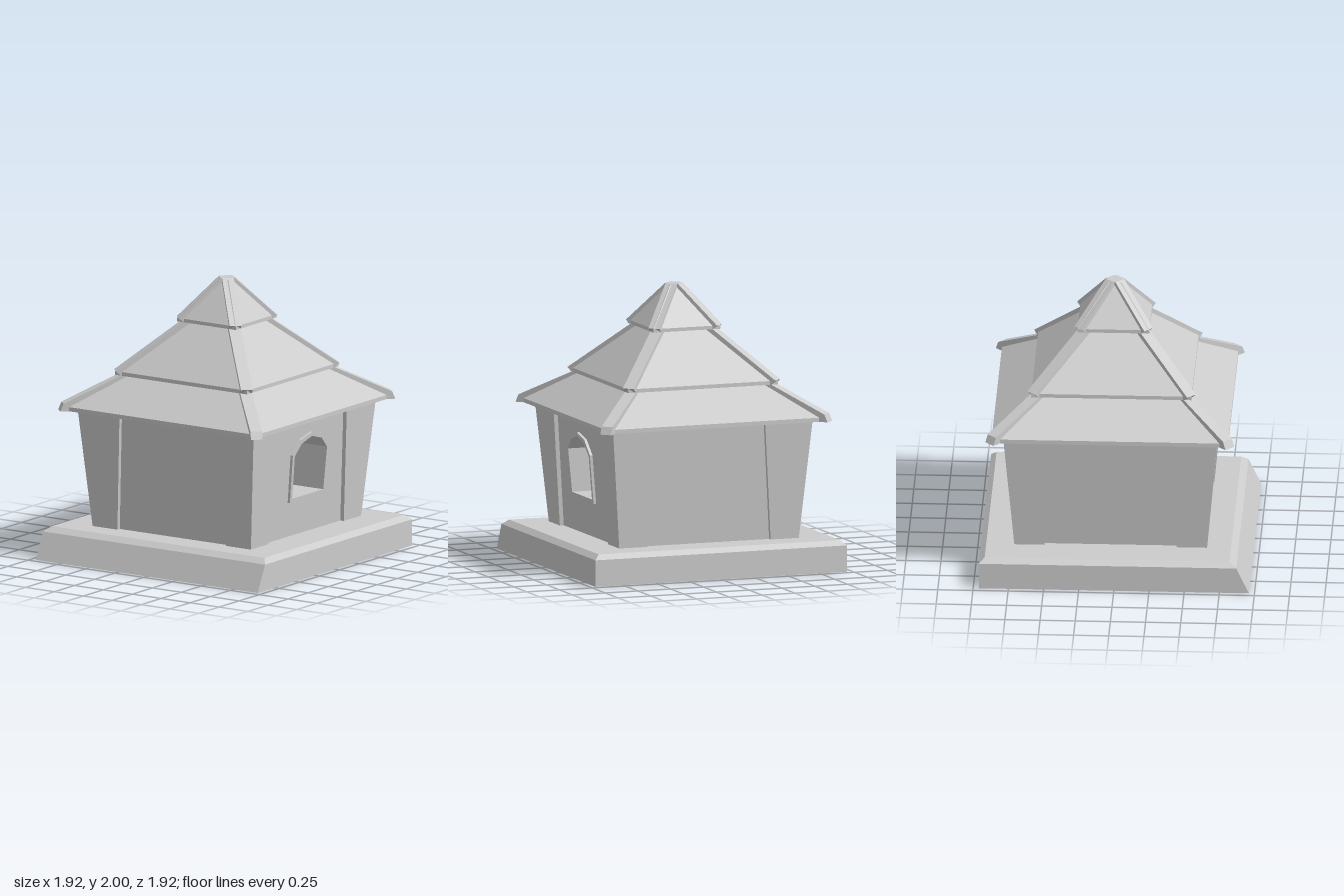
import * as THREE from 'three';

const material = new THREE.MeshStandardMaterial({
  color: 0xcccccc, flatShading: true, side: THREE.DoubleSide,
});

function part(name, geometry, parent) {
  const mesh = new THREE.Mesh(geometry, material);
  mesh.name = name;
  parent.add(mesh);
  return mesh;
}

// Stacks rectangular rings [y, x0, x1, z0, z1] from bottom to top; caps are optional.
function loft(rings, capTop, capBottom) {
  const corners = rings.map(([y, x0, x1, z0, z1]) =>
    [[x0, y, z1], [x1, y, z1], [x1, y, z0], [x0, y, z0]]);
  const out = [];
  const quad = (a, b, c, d) => out.push(...a, ...b, ...c, ...a, ...c, ...d);
  for (let i = 0; i < corners.length - 1; i++) {
    for (let k = 0; k < 4; k++) {
      const n = (k + 1) % 4;
      quad(corners[i][k], corners[i][n], corners[i + 1][n], corners[i + 1][k]);
    }
  }
  if (capTop) quad(...corners[corners.length - 1]);
  if (capBottom) quad(...[...corners[0]].reverse());
  const geometry = new THREE.BufferGeometry();
  geometry.setAttribute('position', new THREE.Float32BufferAttribute(out, 3));
  geometry.computeVertexNormals();
  return geometry;
}

const square = (y, half) => [y, -half, half, -half, half];
const polygon = (points) => new THREE.Shape(points.map(([x, y]) => new THREE.Vector2(x, y)));

// The walls flare outward with height.
const postOuter = (y) => 0.685 + (y - 0.225) * 0.089;
const postInner = (y) => 0.47 - (y - 0.225) * 0.083;
const wallFace = (y) => postOuter(y) - 0.03;

// Leans a flat geometry onto the plane of the flared wall.
function leanOnWall(geometry) {
  const p = geometry.attributes.position;
  for (let i = 0; i < p.count; i++) p.setZ(i, p.getZ(i) + wallFace(p.getY(i)));
  geometry.computeVertexNormals();
  return geometry;
}

// Mirrors a half outline (bottom to peak) of the arched window.
function archOutline(half) {
  const mirrored = half.slice(0, -1).reverse().map(([x, y]) => [-x, y]);
  return [...half, ...mirrored];
}

export function createModel() {
  const model = new THREE.Group();
  model.name = 'smallShrineHouse';

  // Hollow plinth with a chamfered top and a sloping front
  part('plinth', loft([
    [0, -0.96, 0.96, -0.96, 0.96],
    [0.19, -0.96, 0.96, -0.96, 0.87],
    [0.225, -0.92, 0.92, -0.92, 0.82],
  ], true, false), model);

  const house = new THREE.Group();
  house.name = 'house';
  house.position.z = -0.035;
  model.add(house);

  const outer = archOutline([[0.218, 0.48], [0.226, 0.83], [0.138, 0.93], [0, 0.965]]);
  const inner = archOutline([[0.193, 0.508], [0.2, 0.82], [0.123, 0.9], [0, 0.935]]);

  // Four recessed walls, the left one pierced by the window
  const bottom = 0.212, top = 1.08;
  const wallNames = ['frontWall', 'leftWall', 'backWall', 'rightWall'];
  wallNames.forEach((name, k) => {
    const b = wallFace(bottom), t = wallFace(top);
    const shape = polygon([[-b, bottom], [b, bottom], [t, top], [-t, top]]);
    if (k === 1) shape.holes.push(polygon(inner));
    const wall = part(name, leanOnWall(new THREE.ShapeGeometry(shape)), house);
    wall.rotation.y = k * Math.PI / 2;
  });

  // Window frame whose inside forms the deep reveal, closed by a back panel
  const windowNiche = new THREE.Group();
  windowNiche.name = 'windowNiche';
  windowNiche.rotation.y = Math.PI / 2;
  house.add(windowNiche);
  const frameShape = polygon(outer);
  frameShape.holes.push(polygon(inner));
  const frame = new THREE.ExtrudeGeometry(frameShape, { depth: 0.27, bevelEnabled: false });
  part('windowFrame', leanOnWall(frame.translate(0, 0, -0.25)), windowNiche);
  const panel = new THREE.ShapeGeometry(polygon(inner)).translate(0, 0, -0.25);
  part('nichePanel', leanOnWall(panel), windowNiche);

  // Tapered corner posts, reaching a little below the plinth top
  const postRing = (y) => [y, postInner(y), postOuter(y), postInner(y), postOuter(y)];
  for (let k = 0; k < 4; k++) {
    const post = part('cornerPost', loft([postRing(0.205), postRing(1.08)], false, false), house);
    post.rotation.y = k * Math.PI / 2;
  }

  // Three roof tiers: [y, half width] for fascia bottom, fascia top and upper edge,
  // each with the side profile [half width, y] of its hip ridges
  const tiers = [
    { name: 'lowerRoof', rings: [[1.075, 0.84], [1.105, 0.84], [1.33, 0.52]],
      ridge: [[0.855, 1.075], [0.838, 1.13], [0.515, 1.34], [0.48, 1.3], [0.79, 1.075]] },
    { name: 'middleRoof', rings: [[1.318, 0.57], [1.345, 0.57], [1.7, 0.205]],
      ridge: [[0.57, 1.35], [0.2, 1.715], [0.17, 1.67], [0.54, 1.312]] },
    { name: 'topRoof', rings: [[1.69, 0.255], [1.715, 0.255], [1.99, 0.048]],
      ridge: [[0.25, 1.718], [0.035, 2], [0, 2], [0, 1.93], [0.22, 1.685]] },
  ];
  const ridgeWidth = 0.085;
  for (const { name, rings, ridge } of tiers) {
    part(name, loft(rings.map(([y, half]) => square(y, half)), true, true), house);
    const profile = polygon(ridge.map(([s, y]) => [s * Math.SQRT2, y]));
    const beam = new THREE.ExtrudeGeometry(profile, { depth: ridgeWidth, bevelEnabled: false });
    beam.translate(0, 0, -ridgeWidth / 2);
    for (let k = 0; k < 4; k++) {
      part(name + 'Ridge', beam, house).rotation.y = Math.PI / 4 + k * Math.PI / 2;
    }
  }

  return model;
}
